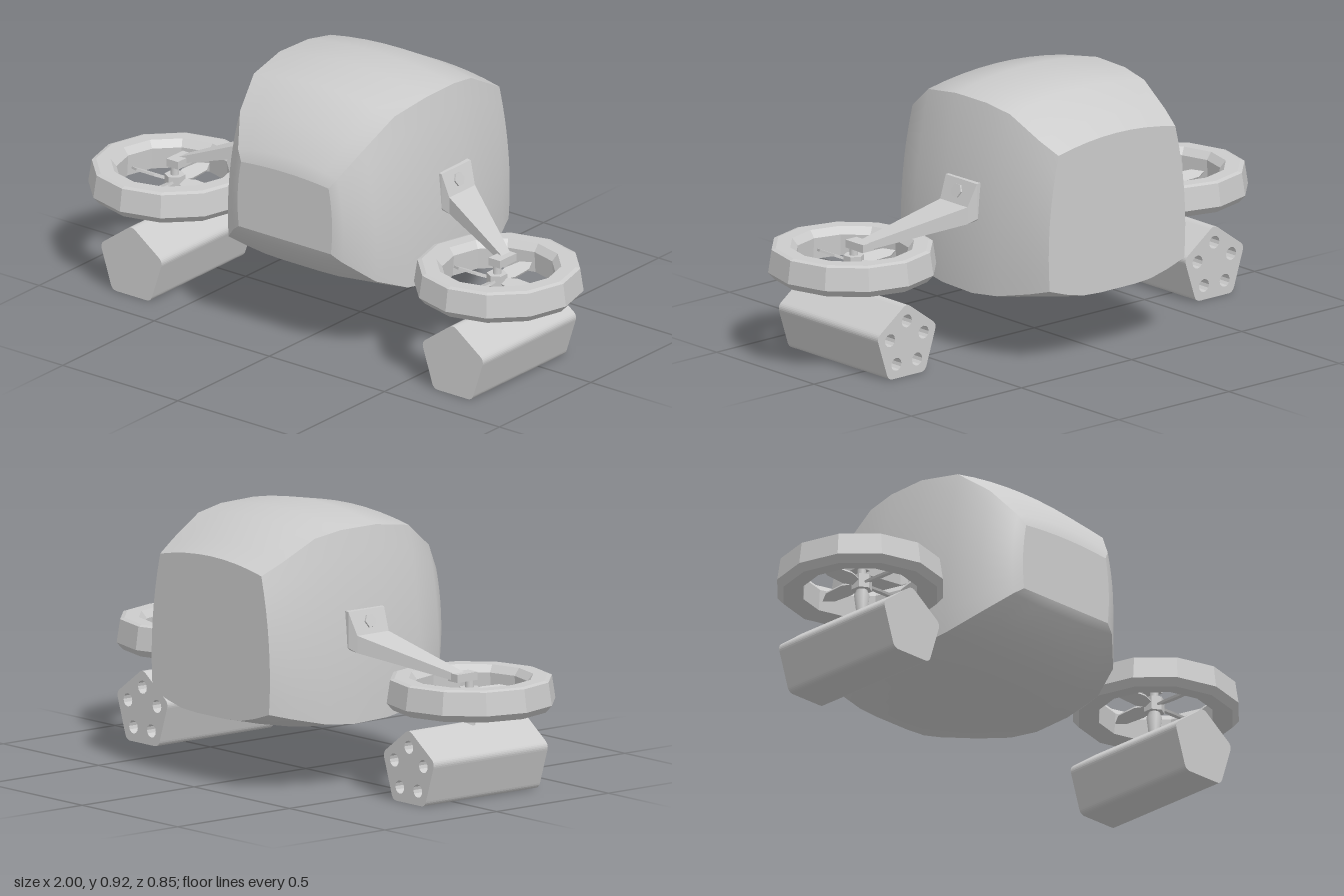
import * as THREE from 'three';
import { ConvexGeometry } from 'three/addons/geometries/ConvexGeometry.js';

const smooth = new THREE.MeshStandardMaterial({ color: 0xcccccc, side: THREE.DoubleSide });
const flat = new THREE.MeshStandardMaterial({ color: 0xcccccc, flatShading: true, side: THREE.DoubleSide });

function add(parent, name, geometry, material, x = 0, y = 0, z = 0) {
  const mesh = new THREE.Mesh(geometry, material);
  mesh.name = name;
  mesh.position.set(x, y, z);
  parent.add(mesh);
  return mesh;
}

// Hull stations, front to back:
// z, top half width, top corner y, top middle y, bottom half width, bottom corner y, bottom middle y, side bulge
const STATIONS = [
  [0.415, 0.19, 0.64, 0.65, 0.20, 0.40, 0.40, 0.01],
  [0.40, 0.215, 0.675, 0.70, 0.235, 0.375, 0.365, 0.015],
  [0.32, 0.27, 0.775, 0.80, 0.32, 0.30, 0.275, 0.02],
  [0.20, 0.305, 0.865, 0.895, 0.365, 0.25, 0.225, 0.02],
  [0.04, 0.32, 0.89, 0.925, 0.38, 0.23, 0.20, 0.02],
  [-0.11, 0.315, 0.888, 0.918, 0.38, 0.225, 0.195, 0.02],
  [-0.22, 0.305, 0.87, 0.90, 0.365, 0.235, 0.197, 0.02],
  [-0.35, 0.285, 0.80, 0.83, 0.335, 0.265, 0.22, 0.02],
  [-0.425, 0.265, 0.76, 0.79, 0.305, 0.285, 0.237, 0.02],
];
const STEPS = 8;

// One bulged edge of a station; edges run anticlockwise: right, top, left, bottom
function edgePoint([z, wt, yt, ytm, wb, yb, ybm, bulge], edge, t) {
  const b = 4 * t * (1 - t);
  const mix = THREE.MathUtils.lerp;
  if (edge === 0) return [mix(wb, wt, t) + bulge * b, mix(yb, yt, t), z];
  if (edge === 1) return [mix(wt, -wt, t), yt + (ytm - yt) * b, z];
  if (edge === 2) return [-mix(wt, wb, t) - bulge * b, mix(yt, yb, t), z];
  return [mix(-wb, wb, t), yb + (ybm - yb) * Math.min(1, b * 1.2), z];
}

function hullPanel(edge) {
  const pos = [], index = [], row = STEPS + 1;
  STATIONS.forEach((s, i) => {
    for (let j = 0; j <= STEPS; j++) {
      pos.push(...edgePoint(s, edge, j / STEPS));
      if (i && j) {
        const a = (i - 1) * row + j - 1, c = a + row;
        index.push(a, c, a + 1, a + 1, c, c + 1);
      }
    }
  });
  const g = new THREE.BufferGeometry();
  g.setAttribute('position', new THREE.Float32BufferAttribute(pos, 3));
  g.setIndex(index);
  g.computeVertexNormals();
  return g;
}

function hullCap(station, facesFront) {
  const pos = [0, (station[3] + station[6]) / 2, station[0]], index = [];
  const n = 4 * STEPS;
  for (let k = 0; k < n; k++) {
    pos.push(...edgePoint(station, Math.floor(k / STEPS), (k % STEPS) / STEPS));
    const a = k + 1, b = ((k + 1) % n) + 1;
    index.push(0, ...(facesFront ? [a, b] : [b, a]));
  }
  const g = new THREE.BufferGeometry();
  g.setAttribute('position', new THREE.Float32BufferAttribute(pos, 3));
  g.setIndex(index);
  g.computeVertexNormals();
  return g;
}

// Rectangle of corners at one x, used to hull the arm pieces
function corners(x, y0, y1, z0, z1) {
  return [[y0, z0], [y0, z1], [y1, z0], [y1, z1]].map(([y, z]) => new THREE.Vector3(x, y, z));
}

// Pentagon with rounded corners, one corner up
function pentagon(radius, round) {
  const shape = new THREE.Shape();
  const p = [...Array(5)].map((_, i) => {
    const a = Math.PI / 2 + i * Math.PI * 0.4;
    return new THREE.Vector2(Math.cos(a) * radius, Math.sin(a) * radius);
  });
  p.forEach((c, i) => {
    const start = c.clone().lerp(p[(i + 4) % 5], round), end = c.clone().lerp(p[(i + 1) % 5], round);
    if (i) shape.lineTo(start.x, start.y);
    else shape.moveTo(start.x, start.y);
    shape.quadraticCurveTo(c.x, c.y, end.x, end.y);
  });
  shape.closePath();
  return shape;
}

function rotorUnit(s) {
  const unit = new THREE.Group();
  unit.name = s > 0 ? 'leftRotorUnit' : 'rightRotorUnit';

  // Arm from the hull to the rotor
  const root = corners(s * 0.34, 0.49, 0.618, -0.13, 0.03);
  const lip = corners(s * 0.375, 0.49, 0.615, -0.13, 0.03);
  const knee = corners(s * 0.405, 0.475, 0.535, -0.115, 0.025);
  const tip = corners(s * 0.70, 0.40, 0.425, 0.065, 0.11);
  add(unit, 'armBracket', new ConvexGeometry([...root, ...lip, ...knee]), flat);
  add(unit, 'arm', new ConvexGeometry([...knee, ...tip]), flat);
  add(unit, 'armEnd', new THREE.BoxGeometry(0.05, 0.028, 0.09), flat, s * 0.70, 0.411, 0.105);
  const bolt = add(unit, 'bracketBolt', new THREE.CylinderGeometry(0.025, 0.025, 0.02, 6), flat, s * 0.386, 0.575, -0.045);
  bolt.rotation.z = -s * (Math.PI / 2 - 0.33);

  // Twelve-sided duct ring
  const duct = [[0.20, 0.31], [0.27, 0.30], [0.292, 0.325], [0.28, 0.405], [0.265, 0.41], [0.215, 0.41], [0.195, 0.385], [0.20, 0.31]]
    .map(([r, y]) => new THREE.Vector2(r, y));
  add(unit, 'ductRing', new THREE.LatheGeometry(duct, 12), flat, s * 0.7075, 0, 0.135);

  // Hub, axle and four twisted blades
  add(unit, 'hub', new THREE.CylinderGeometry(0.036, 0.036, 0.05, 6), flat, s * 0.70, 0.345, 0.135);
  const axle = [[0.028, 0.225], [0.02, 0.245], [0.027, 0.30], [0.015, 0.33], [0.015, 0.41]]
    .map(([r, y]) => new THREE.Vector2(r, y));
  add(unit, 'axle', new THREE.LatheGeometry(axle, 12), smooth, s * 0.70, 0, 0.135);
  const outline = [[0.015, -0.012], [0.07, -0.028], [0.15, -0.024], [0.188, 0], [0.15, 0.02], [0.07, 0.024], [0.015, 0.012]];
  const blade = new THREE.ExtrudeGeometry(new THREE.Shape(outline.map(([x, y]) => new THREE.Vector2(x, y))),
    { depth: 0.008, bevelEnabled: false });
  blade.translate(0, 0, -0.004).rotateX(Math.PI / 2 + 0.4);
  for (let i = 0; i < 4; i++) {
    add(unit, 'blade', blade, flat, s * 0.70, 0.345, 0.135).rotation.y = i * Math.PI / 2;
  }

  // Pentagonal pod with five bores in its back end
  const solid = pentagon(0.142, 0.12);
  const bored = pentagon(0.142, 0.12);
  for (let i = 0; i < 5; i++) {
    const a = Math.PI / 2 + i * Math.PI * 0.4;
    const hole = new THREE.Path();
    hole.absarc(Math.cos(a) * 0.08, Math.sin(a) * 0.08, 0.023, 0, Math.PI * 2, true);
    bored.holes.push(hole);
  }
  const options = { bevelEnabled: false, curveSegments: 6 };
  add(unit, 'podBores', new THREE.ExtrudeGeometry(bored, { ...options, depth: 0.06 }), smooth, s * 0.698, 0.115, -0.135);
  add(unit, 'pod', new THREE.ExtrudeGeometry(solid, { ...options, depth: 0.45 }), smooth, s * 0.698, 0.115, -0.075);
  return unit;
}

export function createModel() {
  const model = new THREE.Group();
  model.name = 'rotorCraft';

  // Hull: four bulged panels meeting at crisp corners, closed by two end faces
  const hull = new THREE.Group();
  hull.name = 'hull';
  ['leftPanel', 'roofPanel', 'rightPanel', 'bellyPanel'].forEach((name, i) => add(hull, name, hullPanel(i), smooth));
  add(hull, 'frontPanel', hullCap(STATIONS[0], true), smooth);
  add(hull, 'backPanel', hullCap(STATIONS[STATIONS.length - 1], false), smooth);
  model.add(hull);

  for (const s of [1, -1]) model.add(rotorUnit(s));
  return model;
}
